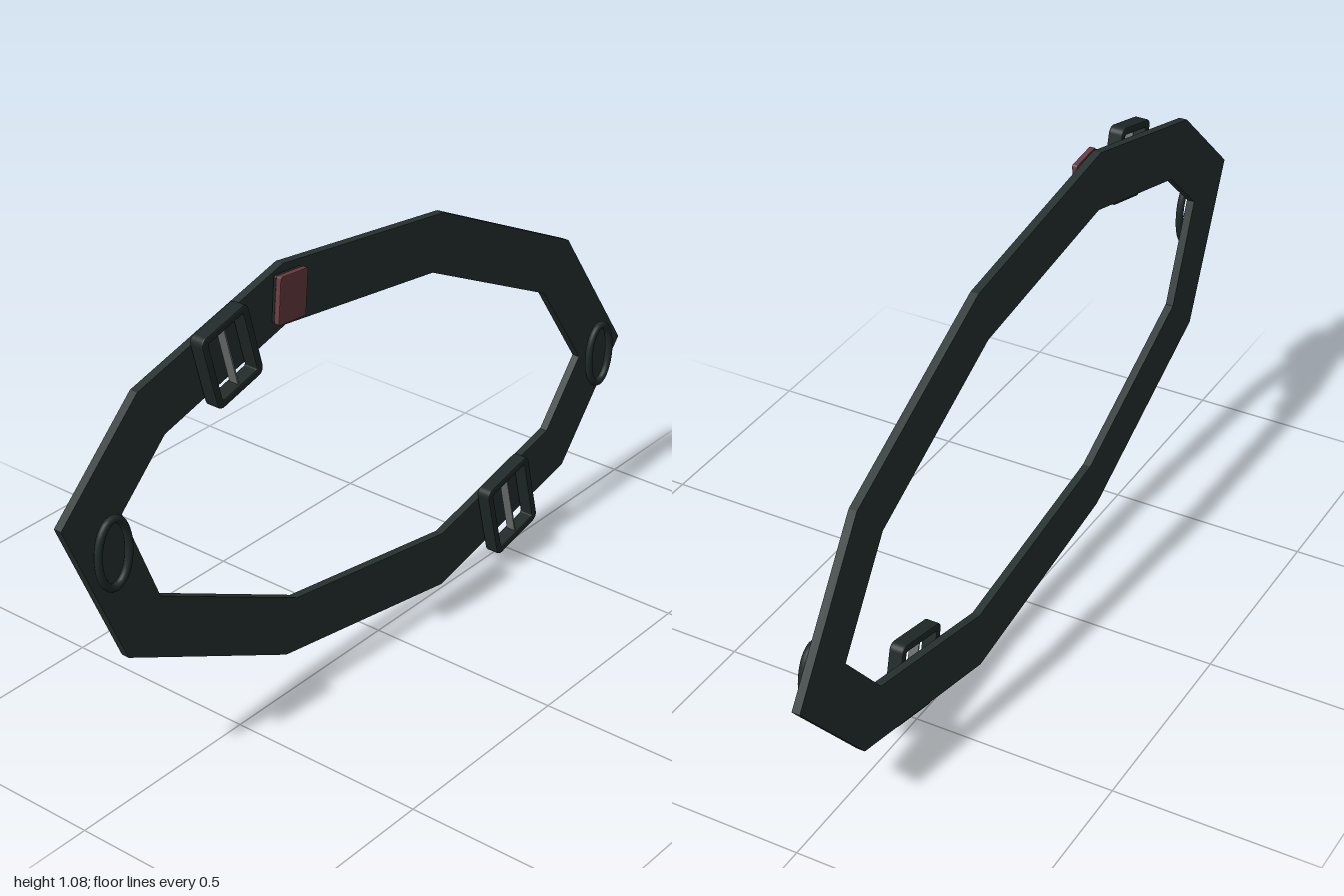
import * as THREE from 'three';

const webbing = new THREE.MeshStandardMaterial({ color: 0x283332 });
webbing.name = 'webbing';
const plastic = new THREE.MeshStandardMaterial({ color: 0x202929 });
plastic.name = 'darkPlastic';
const barMetal = new THREE.MeshStandardMaterial({ color: 0x6c7271 });
barMetal.name = 'barMetal';
const tagRed = new THREE.MeshStandardMaterial({ color: 0x6a3c42 });
tagRed.name = 'tagRed';

const vectors = (points) => points.map(([x, y]) => new THREE.Vector2(x, y));

function addMesh(parent, name, geometry, material) {
  const mesh = new THREE.Mesh(geometry, material);
  mesh.name = name;
  parent.add(mesh);
  return mesh;
}

// Rounded rectangle centred on the origin, usable as outline or hole
function roundedRect(path, w, h, r) {
  const x = w / 2 - r, y = h / 2 - r;
  path.absarc(x, y, r, 0, Math.PI / 2);
  path.absarc(-x, y, r, Math.PI / 2, Math.PI);
  path.absarc(-x, -y, r, Math.PI, Math.PI * 1.5);
  path.absarc(x, -y, r, Math.PI * 1.5, Math.PI * 2);
  path.closePath();
  return path;
}

// Flat ten-sided loop of webbing: outline anticlockwise, hole clockwise
function buildStrap() {
  const outline = new THREE.Shape(vectors([
    [-0.83, 0.35], [-0.325, 0.095], [0.26, 0], [0.765, 0.118], [1, 0.395],
    [0.755, 0.755], [0.25, 1.005], [-0.31, 1.082], [-0.765, 0.96], [-1, 0.74],
  ]));
  outline.holes.push(new THREE.Path(vectors([
    [-0.69, 0.832], [-0.305, 0.936], [0.21, 0.868], [0.66, 0.645], [0.823, 0.405],
    [0.69, 0.247], [0.26, 0.145], [-0.285, 0.23], [-0.725, 0.453], [-0.827, 0.703],
  ])));
  const geometry = new THREE.ExtrudeGeometry(outline, { depth: 0.02, bevelEnabled: false });
  return geometry.translate(0, 0, -0.03);
}

// Slider buckle: rounded frame with a thin upright blade over the webbing
function buildBuckle(name, x, y, w, h, angle) {
  const buckle = new THREE.Group();
  buckle.name = name;
  const bevel = 0.004, bar = 0.019;
  const shape = roundedRect(new THREE.Shape(), w - 2 * bevel, h - 2 * bevel, 0.014);
  shape.holes.push(roundedRect(new THREE.Path(), w - 2 * bar + 2 * bevel, h - 2 * bar + 2 * bevel, 0.008));
  const frame = new THREE.ExtrudeGeometry(shape, {
    depth: 0.029, bevelSize: bevel, bevelThickness: bevel, bevelSegments: 2, curveSegments: 4,
  });
  addMesh(buckle, 'buckleFrame', frame.translate(0, 0, -0.003), plastic);
  const blade = addMesh(buckle, 'buckleBlade', new THREE.BoxGeometry(0.004, h - bar, 0.024), barMetal);
  blade.position.z = 0.012;
  buckle.position.set(x, y, 0);
  buckle.rotation.z = angle;
  return buckle;
}

// Upright oval ring
function buildRing() {
  const points = [];
  for (let i = 0; i < 24; i++) {
    const a = (i / 24) * Math.PI * 2;
    points.push(new THREE.Vector3(Math.cos(a) * 0.045, Math.sin(a) * 0.081, 0));
  }
  return new THREE.TubeGeometry(new THREE.CatmullRomCurve3(points, true), 40, 0.0095, 10, true);
}

// Small plate with softened edges
function buildPlate(w, h, depth) {
  const bevel = 0.002;
  const shape = roundedRect(new THREE.Shape(), w - 2 * bevel, h - 2 * bevel, 0.004);
  return new THREE.ExtrudeGeometry(shape, {
    depth: depth - 2 * bevel, bevelSize: bevel, bevelThickness: bevel, bevelSegments: 2, curveSegments: 3,
  }).translate(0, 0, bevel);
}

export function createModel() {
  const model = new THREE.Group();
  model.name = 'strapLoop';
  addMesh(model, 'strap', buildStrap(), webbing);

  model.add(buildBuckle('upperBuckle', -0.517, 0.954, 0.15, 0.188, 0.26));
  model.add(buildBuckle('lowerBuckle', 0.498, 0.129, 0.17, 0.207, 0.235));

  for (const [name, x, y] of [['rightRing', -0.877, 0.64], ['leftRing', 0.881, 0.398]]) {
    addMesh(model, name, buildRing(), plastic).position.set(x, y, 0.011);
  }

  // Coloured tag on a dark backing
  const tag = new THREE.Group();
  tag.name = 'tag';
  addMesh(tag, 'tagBacking', buildPlate(0.088, 0.11, 0.008), plastic).position.z = -0.005;
  addMesh(tag, 'tagFace', buildPlate(0.09, 0.112, 0.014), tagRed).position.z = 0.003;
  tag.position.set(-0.308, 1.011, 0);
  tag.rotation.z = -0.09;
  model.add(tag);
  return model;
}
